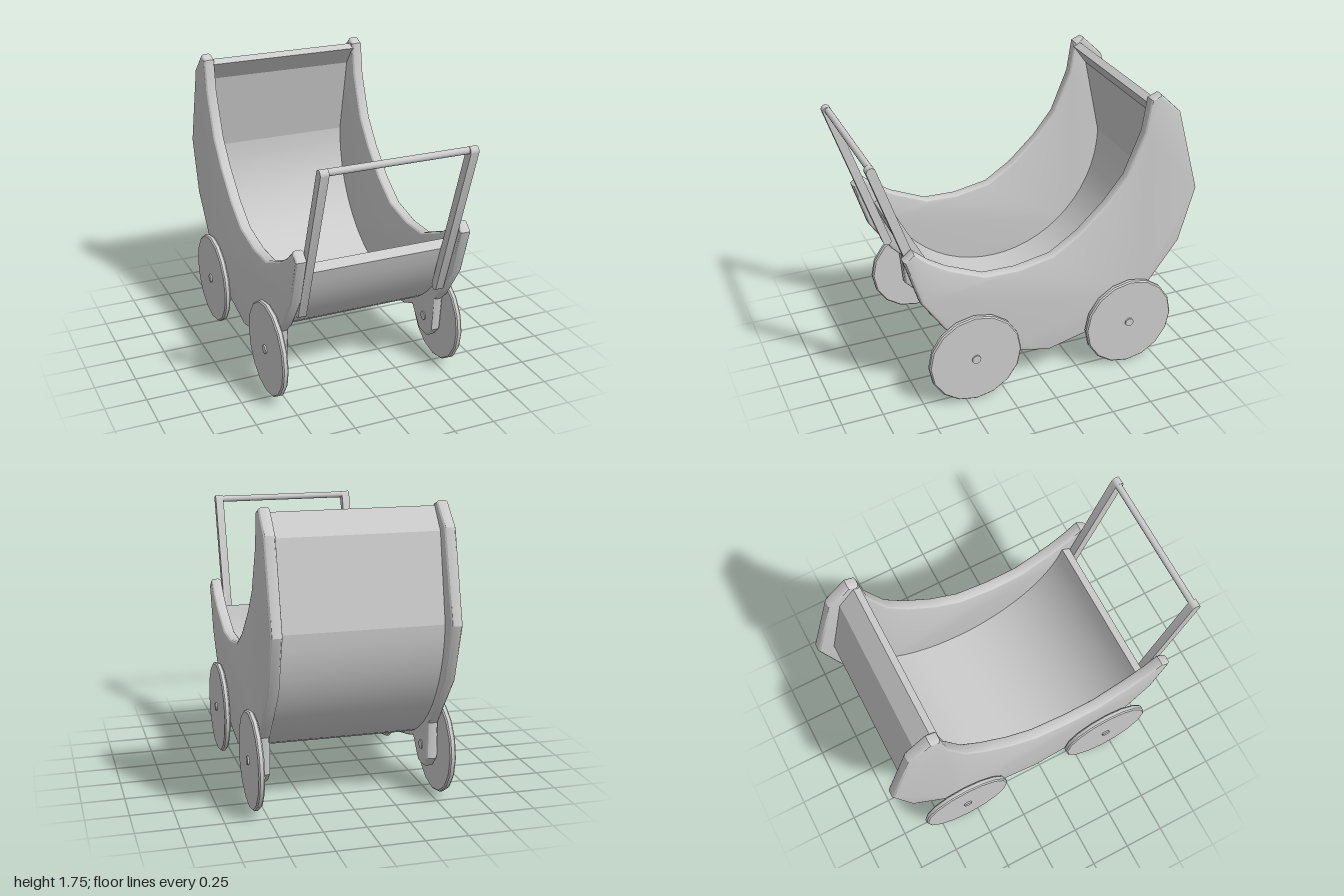
import * as THREE from 'three';
import { toCreasedNormals } from 'three/addons/utils/BufferGeometryUtils.js';

const material = new THREE.MeshStandardMaterial({ color: 0xcccccc });

function add(parent, name, geometry, x = 0, y = 0, z = 0) {
  const mesh = new THREE.Mesh(geometry, material);
  mesh.name = name;
  mesh.position.set(x, y, z);
  parent.add(mesh);
  return mesh;
}

// Extrudes a [z, y] outline along x, centred on x = 0, with an optional rounded rim
function slab(outline, width, bevel, crease) {
  const shape = new THREE.Shape(outline.map(([z, y]) => new THREE.Vector2(-z, y)));
  const geometry = new THREE.ExtrudeGeometry(shape, {
    depth: width - 2 * bevel,
    bevelEnabled: bevel > 0,
    bevelThickness: bevel,
    bevelSize: bevel,
    bevelOffset: -bevel,
    bevelSegments: 3,
  });
  geometry.translate(0, 0, bevel - width / 2);
  geometry.rotateY(Math.PI / 2);
  return toCreasedNormals(geometry, crease);
}

// Lower half of the cradle, from the front rim round to the back
function cradleArc(rz, ry, start) {
  const points = [];
  for (let i = 0; i <= 26; i++) {
    const a = start + (-Math.PI - start) * (i / 26);
    points.push([-0.08 + rz * Math.cos(a), 1.1 + ry * Math.sin(a)]);
  }
  return points;
}

export function createModel() {
  const group = new THREE.Group();
  group.name = 'dollPram';

  // Curved cradle: floor, front and hood back in one bent sheet
  const outer = [...cradleArc(0.82, 0.85, -0.274), [-0.79, 1.6], [-0.69, 1.725]];
  const inner = [...cradleArc(0.76, 0.79, -0.25), [-0.735, 1.585], [-0.65, 1.7]];
  add(group, 'cradle', slab([...outer, ...inner.reverse()], 0.95, 0, 0.17));

  // Side panels with a foot above each axle
  const sideOutline = [
    [0.84, 1.01], [0.78, 1.06], [0.69, 0.98], [0.58, 0.91], [0.36, 0.815], [0.16, 0.81],
    [-0.06, 0.85], [-0.23, 0.96], [-0.4, 1.12], [-0.52, 1.27], [-0.625, 1.53], [-0.655, 1.73],
    [-0.715, 1.755], [-0.85, 1.625], [-0.995, 1.11], [-0.9, 0.77], [-0.72, 0.53],
    [-0.66, 0.45], [-0.66, 0.23], [-0.6, 0.165], [-0.51, 0.165], [-0.41, 0.29], [-0.28, 0.25],
    [-0.05, 0.195], [0.16, 0.24], [0.28, 0.29], [0.38, 0.165], [0.47, 0.165], [0.53, 0.23],
    [0.55, 0.45], [0.61, 0.51], [0.75, 0.72],
  ];
  const sideGeometry = slab(sideOutline, 0.07, 0.02, 0.5);

  // Handle post: a slanted bar with rounded ends
  const postLength = 1.0;
  const postShape = new THREE.Shape();
  postShape.absarc(0, postLength / 2, 0.027, 0, Math.PI);
  postShape.absarc(0, -postLength / 2, 0.027, Math.PI, Math.PI * 2);
  const postOutline = postShape.getPoints(8).slice(0, -1).map((p) => [-p.x, p.y]);
  const postGeometry = slab(postOutline, 0.05, 0, 0.6);

  // Wheel: sixteen-sided disc with softened rim
  const wheelProfile = [
    [0, -0.018], [0.28, -0.018], [0.288, -0.01], [0.288, 0.01], [0.28, 0.018], [0, 0.018],
  ].map(([r, h]) => new THREE.Vector2(r, h));
  const wheelGeometry = toCreasedNormals(
    new THREE.LatheGeometry(wheelProfile, 16).rotateZ(Math.PI / 2), 0.5);
  const pinGeometry = new THREE.CylinderGeometry(0.027, 0.027, 0.125, 12).rotateZ(Math.PI / 2);

  for (const [side, s] of [['left', 1], ['right', -1]]) {
    add(group, `${side}SidePanel`, sideGeometry, s * 0.5);
    const post = add(group, `${side}HandlePost`, postGeometry, s * 0.435, 1.081, 0.813);
    post.rotation.x = Math.atan(0.336);
    for (const [end, z] of [['front', 0.44], ['rear', -0.565]]) {
      add(group, `${side}${end}Wheel`, wheelGeometry, s * 0.556, 0.29, z);
      add(group, `${side}${end}AxlePin`, pinGeometry, s * 0.521, 0.29, z);
    }
  }

  // Push bar between the posts
  add(group, 'pushBar', new THREE.CylinderGeometry(0.02, 0.02, 0.83, 16).rotateZ(Math.PI / 2),
    0, 1.56, 0.968);

  return group;
}
